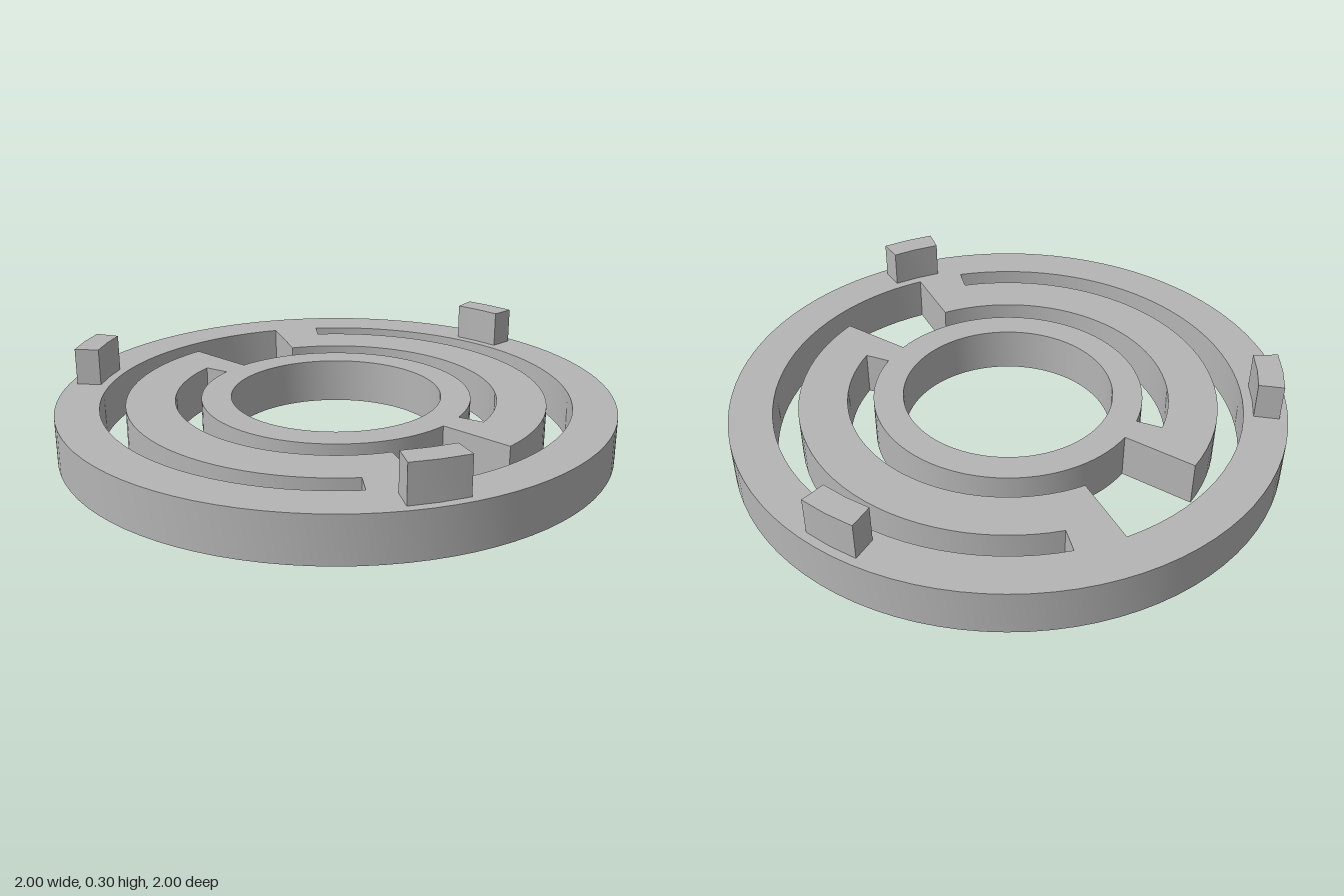
import * as THREE from 'three';
import { toCreasedNormals } from 'three/addons/utils/BufferGeometryUtils.js';

const BODY_HEIGHT = 0.165;
const TAB_HEIGHT = 0.135;

// Points along an arc, angles in degrees, one point every few degrees
function arc(radius, from, to, step = 4) {
  const count = Math.max(1, Math.round(Math.abs(to - from) / step));
  return Array.from({ length: count + 1 }, (_, i) => {
    const a = THREE.MathUtils.degToRad(from + ((to - from) * i) / count);
    return new THREE.Vector2(radius * Math.cos(a), radius * Math.sin(a));
  });
}

const circle = (radius) => arc(radius, 0, 360).slice(0, -1);

// Extrude a plan outline upwards, smooth on the round walls and sharp at corners
function extrudeUp(shape, depth) {
  const geometry = new THREE.ExtrudeGeometry(shape, { depth, bevelEnabled: false });
  geometry.rotateX(-Math.PI / 2);
  return toCreasedNormals(geometry, Math.PI / 9);
}

// Opening that runs outside one spring arm and continues inside the other
function armOpening(turn) {
  return new THREE.Path([
    ...arc(0.845, turn + 138, turn - 30),
    ...arc(0.58, turn - 30, turn - 168),
    ...arc(0.487, turn - 168, turn),
    ...arc(0.755, turn, turn + 138),
  ]);
}

export function createModel() {
  const model = new THREE.Group();
  model.name = 'springRing';

  const grey = new THREE.MeshStandardMaterial({ color: 0xb5b5b5 });
  grey.name = 'grey';

  // Outer ring, hub and the two curved arms in one plate
  const plate = new THREE.Shape(circle(1));
  plate.holes.push(new THREE.Path(circle(0.38)), armOpening(0), armOpening(180));
  const body = new THREE.Mesh(extrudeUp(plate, BODY_HEIGHT), grey);
  body.name = 'ringWithSpringArms';
  model.add(body);

  // Three raised tabs around the rim
  [90, 210, 330].forEach((angle, i) => {
    const outline = new THREE.Shape([
      ...arc(0.97, angle - 6, angle + 6, 6),
      ...arc(0.88, angle + 6, angle - 6, 6),
    ]);
    const tab = new THREE.Mesh(extrudeUp(outline, TAB_HEIGHT), grey);
    tab.name = ['backTab', 'leftRimTab', 'rightRimTab'][[0, 2, 1][i]];
    tab.position.y = BODY_HEIGHT;
    model.add(tab);
  });

  return model;
}
